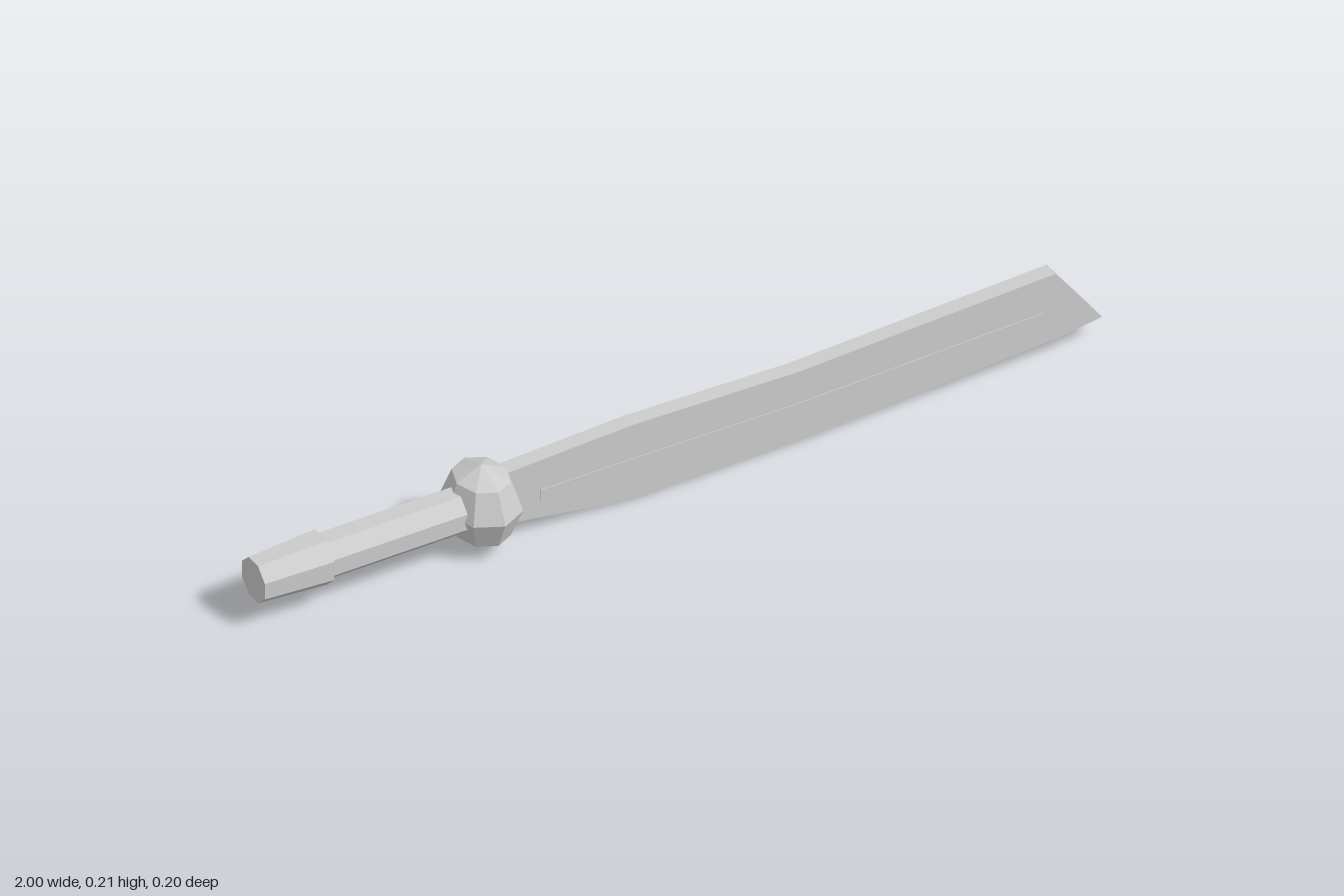
import * as THREE from 'three';

const material = new THREE.MeshStandardMaterial({ color: 0xcccccc, flatShading: true });
const AXIS_Y = 0.111; // height of the grip axis

function add(group, name, geometry) {
  const mesh = new THREE.Mesh(geometry, material);
  mesh.name = name;
  group.add(mesh);
  return mesh;
}

// Flat slab cut from a side outline, centred on z = 0
function slab(points, thickness) {
  const shape = new THREE.Shape(points.map(([x, y]) => new THREE.Vector2(x, y)));
  const geometry = new THREE.ExtrudeGeometry(shape, { depth: thickness, bevelEnabled: false });
  return geometry.translate(0, 0, -thickness / 2);
}

// Eight-sided bar along x, flat faces to the front and top; radii measured to the flats
function octagonBar(x0, x1, flat0, flat1) {
  const k = 1 / Math.cos(Math.PI / 8);
  const geometry = new THREE.CylinderGeometry(flat1 * k, flat0 * k, x1 - x0, 8);
  geometry.rotateY(Math.PI / 8).rotateZ(-Math.PI / 2);
  return geometry.translate((x0 + x1) / 2, AXIS_Y, 0);
}

export function createModel() {
  const model = new THREE.Group();
  model.name = 'machete';

  // Grip and the flared pommel at its end
  add(model, 'grip', octagonBar(-0.86, -0.46, 0.047, 0.047));
  add(model, 'pommel', octagonBar(-1, -0.84, 0.047, 0.056));

  // Faceted ball guard
  const guard = add(model, 'guard', new THREE.SphereGeometry(1, 8, 4));
  guard.scale.set(0.083, 0.096, 0.099);
  guard.position.set(-0.46, AXIS_Y, 0);

  // Blade with a slanted tip
  add(model, 'blade', slab([
    [-0.46, 0.065], [-0.39, 0.045], [-0.11, 0], [0.28, 0.005], [0.9, 0.04], [1, 0.055],
    [0.89, 0.205], [0.28, 0.18], [-0.11, 0.19], [-0.39, 0.178], [-0.46, 0.175],
  ], 0.037));

  // Thin raised strip along both blade faces
  const spine = [[-0.33, 0.093], [-0.11, 0.092], [0.28, 0.088], [0.86, 0.104]];
  const half = 0.013;
  add(model, 'bladeStrip', slab([
    ...spine.map(([x, y]) => [x, y - half]),
    ...spine.map(([x, y]) => [x, y + half]).reverse(),
  ], 0.041));

  return model;
}
